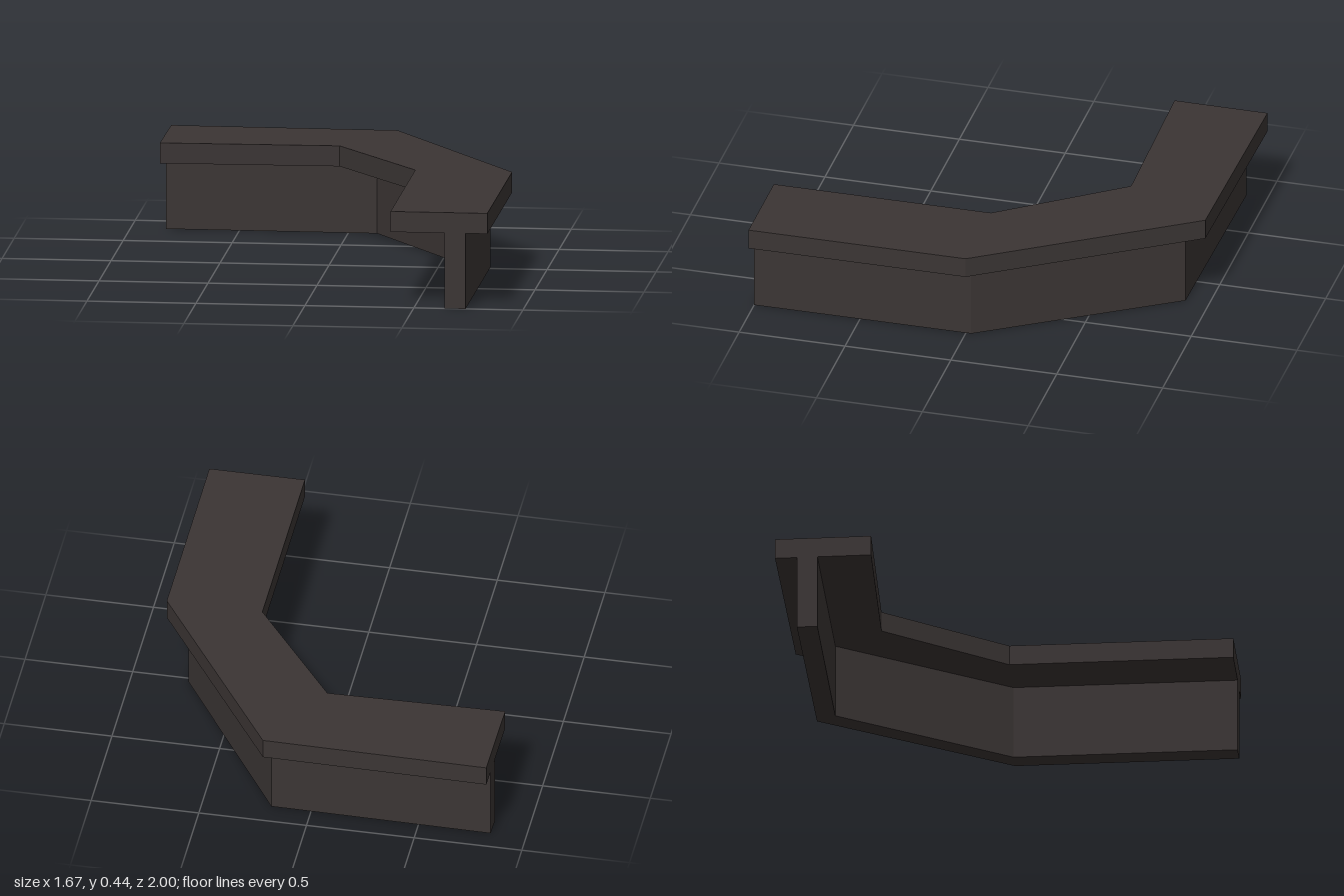
import * as THREE from 'three';

const charcoal = new THREE.MeshStandardMaterial({ color: 0x3b3534 });
charcoal.name = 'charcoal';

// Extrude a plan outline of [x, z] points upward from y0 to y1
function slab(name, outline, y0, y1) {
  const shape = new THREE.Shape(outline.map(([x, z]) => new THREE.Vector2(x, -z)));
  const geometry = new THREE.ExtrudeGeometry(shape, { depth: y1 - y0, bevelEnabled: false });
  geometry.rotateX(-Math.PI / 2);
  geometry.translate(0, y0, 0);
  const mesh = new THREE.Mesh(geometry, charcoal);
  mesh.name = name;
  return mesh;
}

export function createModel() {
  const group = new THREE.Group();
  group.name = 'angledCounter';

  // Wide top following the bend: outer edge, then inner edge back
  group.add(slab('counterTop', [
    [-0.835, -1], [0.205, -0.987], [0.837, -0.025], [0.837, 1],
    [0.393, 1], [0.393, -0.025], [-0.015, -0.577], [-0.838, -0.56],
  ], 0.35, 0.445));

  // Narrow supporting wall, set in from the outer edge
  group.add(slab('supportWall', [
    [-0.836, -0.9], [0.185, -0.888], [0.737, -0.025], [0.737, 1],
    [0.641, 1], [0.641, -0.025], [0.132, -0.8], [-0.837, -0.806],
  ], 0, 0.35));

  return group;
}
